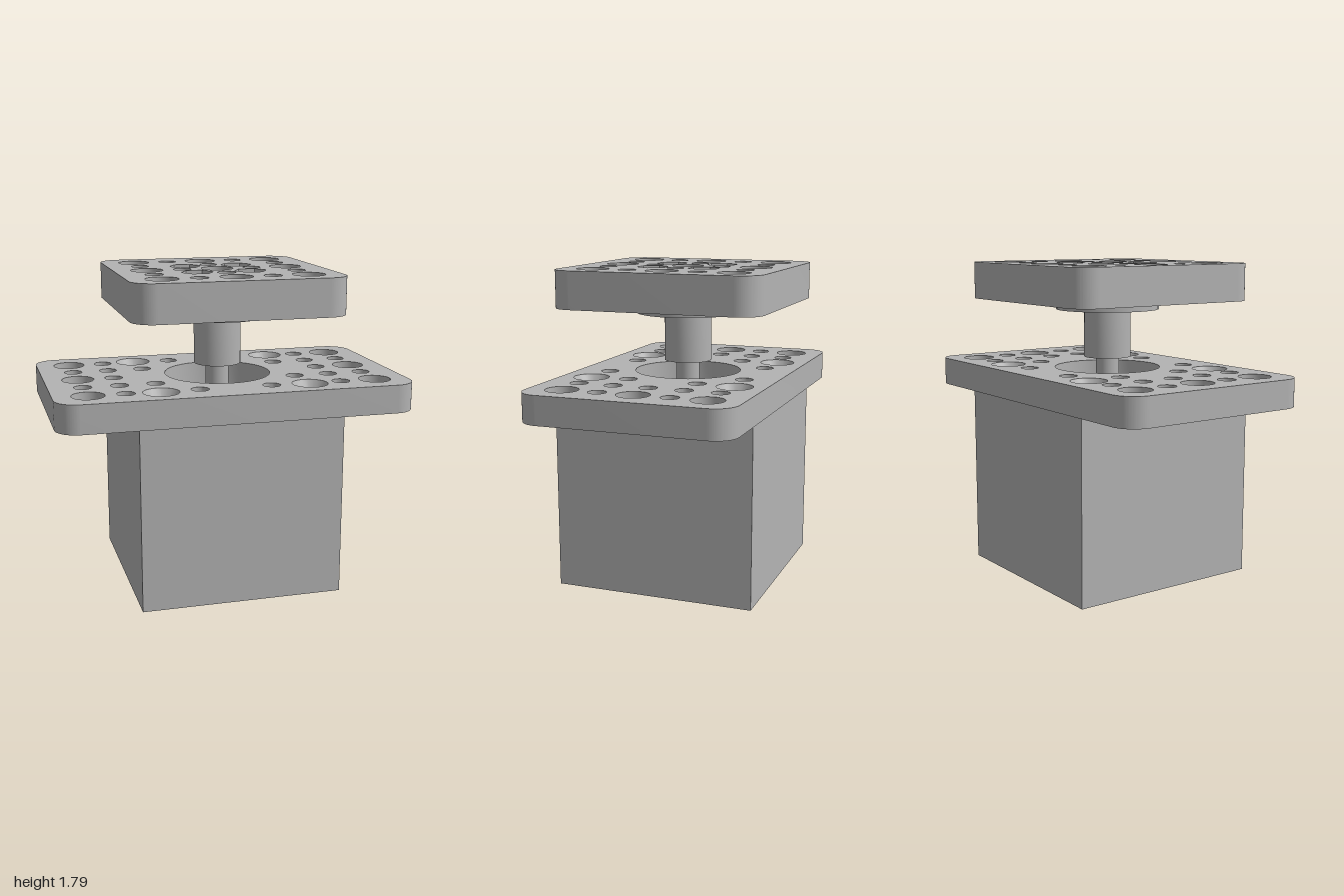
import * as THREE from 'three';
import { toCreasedNormals } from 'three/addons/utils/BufferGeometryUtils.js';

const metal = new THREE.MeshStandardMaterial({ color: 0xb3b3b3 });
metal.name = 'grey metal';

const PITCH = 0.405, HALF = 0.2025; // hole grid
const BIG = 0.09, SMALL = 0.05, CORNER = 0.127;

function circle(x, y, r) {
  const p = new THREE.Path();
  p.absarc(x, y, r, 0, Math.PI * 2, true);
  return p;
}

function disc(r) {
  const s = new THREE.Shape();
  s.absarc(0, 0, r, 0, Math.PI * 2, false);
  return s;
}

function roundedRect(w, d, r) {
  const s = new THREE.Shape();
  s.absarc(w - r, d - r, r, 0, Math.PI / 2, false);
  s.absarc(-w + r, d - r, r, Math.PI / 2, Math.PI, false);
  s.absarc(-w + r, -d + r, r, Math.PI, Math.PI * 1.5, false);
  s.absarc(w - r, -d + r, r, Math.PI * 1.5, Math.PI * 2, false);
  s.closePath();
  return s;
}

function hexPoints(x, y, r) {
  return Array.from({ length: 6 }, (_, i) =>
    new THREE.Vector2(x + r * Math.cos(i * Math.PI / 3), y + r * Math.sin(i * Math.PI / 3)));
}

// Extrude a plan shape upward from y0 to y1
function slab(shape, y0, y1) {
  const g = new THREE.ExtrudeGeometry(shape, { depth: y1 - y0, bevelEnabled: false, curveSegments: 18 });
  g.rotateX(-Math.PI / 2);
  g.translate(0, y0, 0);
  return toCreasedNormals(g, 0.6);
}

// Call fn for the four mirrored positions
function mirror4(x, y, fn) {
  for (const sx of [-1, 1]) for (const sy of [-1, 1]) fn(sx * x, sy * y);
}

export function createModel() {
  const model = new THREE.Group();
  const add = (name, geometry, x = 0, y = 0, z = 0) => {
    const m = new THREE.Mesh(geometry, metal);
    m.name = name;
    m.position.set(x, y, z);
    model.add(m);
  };

  // Motor body
  add('motorBody', new THREE.BoxGeometry(1.14, 1.03, 1.14), 0, 0.515, 0);

  // Mounting plate with hole pattern and central bore
  const base = roundedRect(1, 0.592, CORNER);
  const drill = (shape, r) => (x, y) => shape.holes.push(circle(x, y, r));
  base.holes.push(circle(0, 0, 0.305));
  for (const s of [-1, 1]) {
    for (let i = -2; i <= 2; i++) {
      base.holes.push(circle(s * 2 * PITCH, i * HALF, i % 2 ? SMALL : BIG));
      base.holes.push(circle(s * 1.5 * PITCH, i * HALF, SMALL));
    }
  }
  mirror4(PITCH, HALF, drill(base, SMALL));
  mirror4(HALF, PITCH, drill(base, SMALL));
  mirror4(0.42, 0.42, drill(base, 0.1));
  add('mountingPlate', slab(base, 1.03, 1.19));

  // Countersunk screw seats
  const seatProfile = [[0.1, 0.16], [0.05, 0.07], [0.05, 0], [0.1, 0]].map(p => new THREE.Vector2(...p));
  const seat = toCreasedNormals(new THREE.LatheGeometry(seatProfile, 36), 0.5);
  mirror4(0.42, 0.42, (x, z) => add('countersunkSeat', seat, x, 1.03, z));

  // Motor shaft
  add('shaft', new THREE.CylinderGeometry(0.067, 0.067, 0.52, 36), 0, 1.29, 0);

  // Hub sleeve and its bolt flange
  const hub = disc(0.135);
  hub.holes.push(circle(0, 0, 0.067));
  add('hubSleeve', slab(hub, 1.25, 1.525));
  const flange = disc(0.297);
  flange.holes.push(circle(0, 0, 0.067));
  mirror4(0.152, 0.152, drill(flange, 0.045));
  add('hubFlange', slab(flange, 1.525, 1.58));

  // Top plate with hole pattern and hex nut pockets
  const top = roundedRect(0.592, 0.592, CORNER);
  for (let i = -1; i <= 1; i++)
    for (let j = -1; j <= 1; j++) top.holes.push(circle(i * PITCH, j * PITCH, BIG));
  mirror4(PITCH, HALF, drill(top, SMALL));
  mirror4(HALF, PITCH, drill(top, SMALL));
  for (const s of [-1, 1]) {
    top.holes.push(circle(s * HALF, 0, SMALL));
    top.holes.push(circle(0, s * HALF, SMALL));
  }
  mirror4(0.152, 0.152, (x, y) => top.holes.push(new THREE.Path(hexPoints(x, y, 0.092).reverse())));
  add('topPlate', slab(top, 1.58, 1.79));

  // Pocket floors with bolt holes
  const floor = new THREE.Shape(hexPoints(0, 0, 0.092));
  floor.holes.push(circle(0, 0, 0.045));
  const floorGeometry = slab(floor, 1.58, 1.68);
  mirror4(0.152, 0.152, (x, z) => add('nutPocketFloor', floorGeometry, x, 0, z));

  return model;
}
